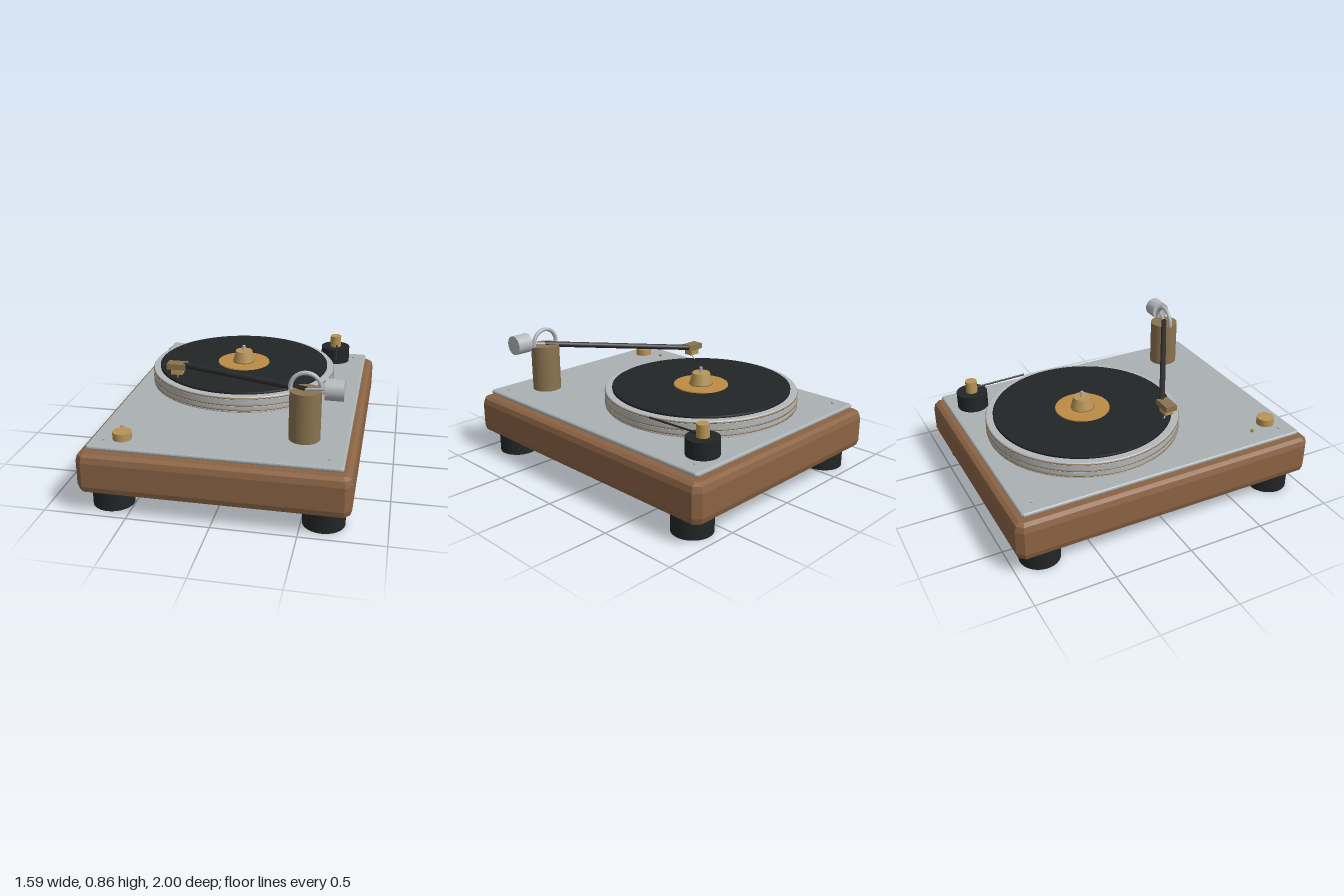
import * as THREE from 'three';

const mat = (color, side = THREE.FrontSide) => new THREE.MeshStandardMaterial({ color, side });
const wood = mat(0x8b6344), plateGrey = mat(0xabb1b3), silver = mat(0xb4b8bb);
const brass = mat(0xb89458), bronze = mat(0x8a734f), gold = mat(0xbc8c45);
const black = mat(0x222527), dark = mat(0x2c2c2c);

const V = (x, y, z) => new THREE.Vector3(x, y, z);

export function createModel() {
  const root = new THREE.Group();

  const add = (name, geometry, material, x = 0, y = 0, z = 0) => {
    const mesh = new THREE.Mesh(geometry, material);
    mesh.name = name;
    mesh.position.set(x, y, z);
    root.add(mesh);
    return mesh;
  };

  // upright cylinder given by its bottom and top heights
  const post = (name, material, x, z, y0, y1, rBottom, rTop = rBottom, seg = 48) =>
    add(name, new THREE.CylinderGeometry(rTop, rBottom, y1 - y0, seg), material, x, (y0 + y1) / 2, z);

  // straight rod between two points
  const rod = (name, material, a, b, r, seg = 16) => {
    const mesh = add(name, new THREE.CylinderGeometry(r, r, a.distanceTo(b), seg), material);
    mesh.position.copy(a).add(b).multiplyScalar(0.5);
    mesh.quaternion.setFromUnitVectors(V(0, 1, 0), b.clone().sub(a).normalize());
    return mesh;
  };

  // bevelled slab with clipped corners, lying flat between y0 and y1
  const slab = (name, material, hx, hz, y0, y1, clip, bevel, bevelHeight, steps) => {
    const a = hx - bevel, b = hz - bevel;
    const shape = new THREE.Shape([
      [a - clip, -b], [a, -b + clip], [a, b - clip], [a - clip, b],
      [-a + clip, b], [-a, b - clip], [-a, -b + clip], [-a + clip, -b],
    ].map(([x, y]) => new THREE.Vector2(x, y)));
    const geo = new THREE.ExtrudeGeometry(shape, {
      depth: y1 - y0 - 2 * bevelHeight, bevelEnabled: true,
      bevelSize: bevel, bevelThickness: bevelHeight, bevelSegments: steps,
    });
    geo.rotateX(-Math.PI / 2);
    return add(name, geo, material, 0, y0 + bevelHeight, 0);
  };

  // base
  slab('plinth', wood, 0.795, 1, 0.13, 0.38, 0.02, 0.035, 0.05, 2);
  slab('topPlate', plateGrey, 0.74, 0.945, 0.393, 0.42, 0.006, 0.012, 0.012, 3);
  for (const sx of [-1, 1]) for (const sz of [-1, 1]) {
    post('foot', black, sx * 0.63, sz * 0.815, 0, 0.122, 0.125);
    post('footRing', brass, sx * 0.63, sz * 0.815, 0.122, 0.134, 0.122);
    post('plateScrew', silver, sx * 0.655, sz * 0.85, 0.415, 0.428, 0.01, 0.01, 16);
  }

  // platter: grooved disc with brass bands
  const px = -0.05, pz = -0.25, R = 0.61;
  const bands = [0.452, 0.485, 0.53];
  const rim = [[0, 0.433], [R - 0.01, 0.433], [R, 0.438]];
  for (const y of bands) rim.push([R, y - 0.006], [R - 0.01, y - 0.003], [R - 0.01, y + 0.003], [R, y + 0.006]);
  rim.push([R - 0.004, 0.541], [0, 0.541]);
  // repeat each corner so the edges stay sharp
  const sharp = rim.flatMap(([r, y]) => [new THREE.Vector2(r, y), new THREE.Vector2(r, y)]);
  add('platter', new THREE.LatheGeometry(sharp, 96), silver, px, 0, pz);
  for (const y of bands) {
    const band = add('platterBand', new THREE.TorusGeometry(R - 0.002, 0.005, 8, 96), bronze, px, y, pz);
    band.rotation.x = Math.PI / 2;
  }
  post('bearingHub', silver, px, pz, 0.415, 0.435, 0.12);

  // record with fine ripples
  const groove = [new THREE.Vector2(0, 0.54), new THREE.Vector2(0.565, 0.54), new THREE.Vector2(0.565, 0.554)];
  for (let i = 0; i <= 70; i++) {
    groove.push(new THREE.Vector2(0.56 - i * 0.0055, 0.554 + (i % 2 ? 0.0012 : 0)));
  }
  groove.push(new THREE.Vector2(0, 0.554));
  add('record', new THREE.LatheGeometry(groove, 96), black, px, 0, pz);
  post('recordLabel', gold, px, pz, 0.553, 0.561, 0.174, 0.172, 64);

  // clamp and spindle
  post('clampBase', bronze, px, pz, 0.56, 0.566, 0.076);
  post('recordClamp', brass, px, pz, 0.564, 0.635, 0.073, 0.056);
  post('spindle', silver, px, pz, 0.63, 0.67, 0.01, 0.01, 16);

  // motor, pulley and belt
  post('motor', black, 0.525, -0.79, 0.415, 0.525, 0.1);
  post('pulley', brass, 0.525, -0.79, 0.52, 0.603, 0.038);
  rod('belt', dark, V(0.537, 0.54, -0.755), V(0.56, 0.54, -0.405), 0.006, 8);

  // controls
  post('speedKnob', brass, -0.56, 0.81, 0.415, 0.466, 0.056);
  post('indicator', gold, -0.61, 0.675, 0.415, 0.434, 0.011, 0.011, 16);

  // tonearm pillar and arch
  post('armPillar', bronze, 0.485, 0.655, 0.446, 0.745, 0.092);
  add('armArch', new THREE.TorusGeometry(0.088, 0.013, 12, 40, Math.PI), silver, 0.485, 0.758, 0.655);
  for (const s of [-1, 1]) post('archLeg', silver, 0.485 + s * 0.088, 0.655, 0.74, 0.758, 0.013, 0.013, 12);

  // arm and counterweight
  const pivot = V(0.485, 0.748, 0.655);
  rod('armTube', dark, V(-0.36, 0.65, 0.15), pivot, 0.018);
  rod('counterweightRod', silver, pivot, V(0.61, 0.77, 0.69), 0.009, 12);
  rod('counterweight', silver, V(0.6, 0.773, 0.693), V(0.705, 0.773, 0.693), 0.062, 40);

  // notched headshell, cartridge and stylus
  const shell = new THREE.Shape([
    [-0.465, -0.195], [-0.34, -0.195], [-0.36, -0.155], [-0.34, -0.12], [-0.465, -0.12],
  ].map(([x, y]) => new THREE.Vector2(x, y)));
  const shellGeo = new THREE.ExtrudeGeometry(shell, { depth: 0.036, bevelEnabled: false });
  shellGeo.rotateX(-Math.PI / 2);
  add('headshell', shellGeo, bronze, 0, 0.63, 0);
  add('cartridge', new THREE.BoxGeometry(0.074, 0.038, 0.058), brass, -0.403, 0.613, 0.158);
  rod('stylus', silver, V(-0.4, 0.598, 0.168), V(-0.41, 0.558, 0.137), 0.004, 8);

  return root;
}
